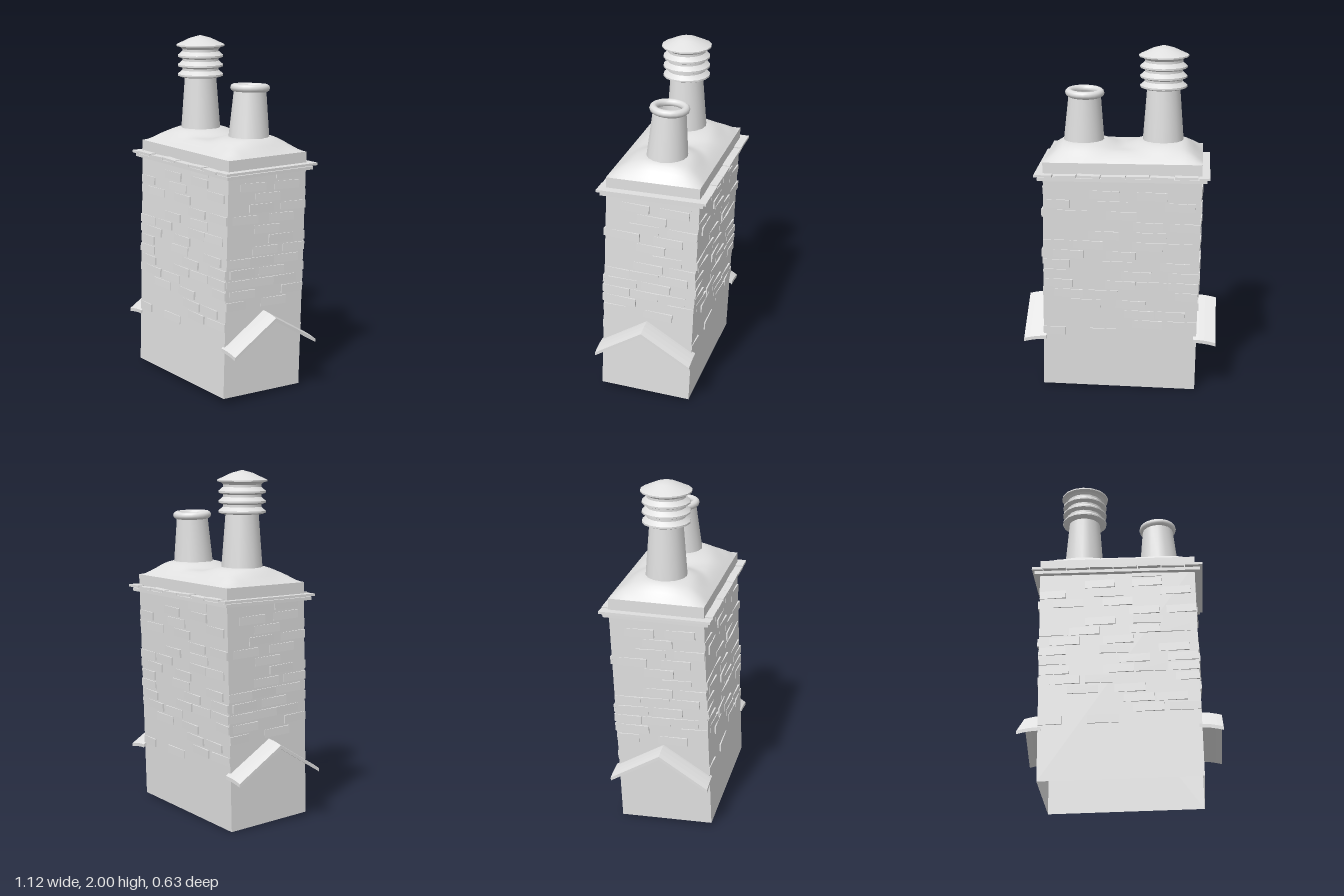
import * as THREE from 'three';
import { toCreasedNormals } from 'three/addons/utils/BufferGeometryUtils.js';

const stone = new THREE.MeshStandardMaterial({ color: 0xe0e0e0, side: THREE.DoubleSide });
stone.name = 'paleStone';

function add(parent, name, geometry, x = 0, y = 0, z = 0) {
  const mesh = new THREE.Mesh(geometry, stone);
  mesh.name = name;
  mesh.position.set(x, y, z);
  parent.add(mesh);
  return mesh;
}

function lathe(points, segments) {
  const geometry = new THREE.LatheGeometry(points.map(p => new THREE.Vector2(...p)), segments);
  return toCreasedNormals(geometry, 0.6);
}

// Raised bricks: one row per course from the top down, listing centres along the wall
const longCourses = [
  [0.17], [-0.1, 0.17], [-0.38, -0.05, 0.33], [-0.28, 0], [0.15, 0.36], [-0.1, 0.17],
  [-0.37, -0.19, 0.15, 0.32], [-0.3, 0], [-0.38, -0.02, 0.31], [-0.38, 0.09, 0.36],
  [-0.36, 0, 0.18, 0.36], [-0.3, -0.1, 0.4], [-0.2, 0.06], [0.11, 0.29],
  [0.16, 0.36], [-0.09, -0.4],
];
const shortCourses = [
  [0.14], [-0.1, 0.13], [0], [-0.04, 0.18], [-0.15, 0.1], [0],
  [0.1], [-0.01, 0.2], [-0.2, -0.03, 0.14], [-0.16, 0.04],
  [-0.2, -0.03, 0.13], [-0.16, 0.2], [-0.22, 0.06],
];

const HALF_W = 0.445, HALF_D = 0.267, BODY_H = 1.29;

function brickWall(parent, name, courses, halfLength, distance, angle) {
  const wall = new THREE.Group();
  wall.name = name;
  wall.rotation.y = angle;
  courses.forEach((row, i) => row.forEach((centre, j) => {
    const a = Math.max(centre - 0.085, -halfLength);
    const b = Math.min(centre + 0.085, halfLength);
    const brick = add(wall, 'raisedBrick', new THREE.BoxGeometry(b - a, 0.047, 0.012),
      (a + b) / 2, 1.245 - i * 0.06, distance);
    // each brick sits slightly askew so one end sinks into the wall
    brick.rotation.y = (i + j) % 3 === 0 ? 0.02 : -0.05;
  }));
  parent.add(wall);
}

// Leaning stack, open underneath
function buildStack() {
  const stack = new THREE.Group();
  stack.name = 'stack';
  const shell = new THREE.BoxGeometry(HALF_W * 2, BODY_H, HALF_D * 2);
  // drop the bottom face (fourth side of the box)
  const index = Array.from(shell.index.array);
  index.splice(18, 6);
  shell.setIndex(index);
  shell.clearGroups();
  add(stack, 'stackWalls', shell, 0, BODY_H / 2, 0);
  for (const turn of [0, Math.PI]) {
    brickWall(stack, 'longWallBricks', longCourses, HALF_W, HALF_D, turn);
    brickWall(stack, 'shortWallBricks', shortCourses, HALF_D, HALF_W, turn + Math.PI / 2);
  }
  stack.position.set(0.005, 0.02, 0.05);
  stack.rotation.set(-0.04, 0, 0.018);
  return stack;
}

// Gabled flashing on each end, drooping outwards
function buildFlashing(side) {
  const depth = 0.13;
  const shape = new THREE.Shape([
    [-0.315, 0.33], [-0.035, 0.505], [0.25, 0.33], [0.25, 0.31], [-0.035, 0.485], [-0.315, 0.31],
  ].map(p => new THREE.Vector2(...p)));
  const geometry = new THREE.ExtrudeGeometry(shape, { depth, steps: 4, bevelEnabled: false });
  geometry.rotateY(Math.PI / 2);
  const pos = geometry.attributes.position;
  for (let i = 0; i < pos.count; i++) {
    const t = (side > 0 ? pos.getX(i) : depth - pos.getX(i)) / depth;
    pos.setY(i, pos.getY(i) - 0.018 * t * t);
  }
  geometry.translate(side > 0 ? 0.558 - depth : -0.558, 0, 0);
  geometry.computeVertexNormals();
  return geometry;
}

// Slate ledge: solid course below, separate slates above
function buildLedge() {
  const ledge = new THREE.Group();
  ledge.name = 'slateLedge';
  add(ledge, 'lowerCourse', new THREE.BoxGeometry(0.95, 0.018, 0.59), -0.018, 1.286, 0);
  const cuts = [-0.51, -0.445, -0.31, -0.175, -0.04, 0.1, 0.235, 0.37, 0.477];
  for (let i = 0; i < cuts.length - 1; i++) {
    const width = cuts[i + 1] - cuts[i] - 0.006;
    for (const side of [-1, 1]) {
      const slate = add(ledge, 'slate', new THREE.BoxGeometry(width, 0.014, 0.312),
        (cuts[i] + cuts[i + 1]) / 2, 1.306 + (i % 2) * 0.003, side * 0.156 - 0.002);
      slate.rotation.z = (i % 3 - 1) * 0.025;
    }
  }
  return ledge;
}

// Mortar cap: slab with a softly domed top that swells around the pots
function buildCap() {
  const cap = new THREE.Group();
  cap.name = 'mortarCap';
  const w = 0.892, d = 0.535, x0 = -0.018, z0 = -0.002;
  add(cap, 'capSlab', new THREE.BoxGeometry(w, 0.07, d), x0, 1.342, z0);
  const dome = new THREE.PlaneGeometry(w, d, 36, 24);
  dome.rotateX(-Math.PI / 2);
  const pos = dome.attributes.position;
  const swell = (x, z, px, pz) => {
    const r = Math.hypot(x - px, z - pz);
    return 1 - THREE.MathUtils.smoothstep(r, 0.11, 0.24);
  };
  for (let i = 0; i < pos.count; i++) {
    const x = pos.getX(i) + x0, z = pos.getZ(i) + z0;
    const ex = Math.min(1, (w / 2 - Math.abs(x - x0)) / 0.11);
    const ez = Math.min(1, (d / 2 - Math.abs(z - z0)) / 0.11);
    const edge = Math.sin(ex * Math.PI / 2) * Math.sin(ez * Math.PI / 2);
    const mound = Math.max(swell(x, z, -0.235, 0), swell(x, z, 0.22, -0.015));
    pos.setXYZ(i, x, 1.377 + edge * (0.053 + 0.032 * mound), z);
  }
  dome.computeVertexNormals();
  add(cap, 'capDome', dome);
  return cap;
}

// Tapered pot with louvred rings and a conical hat
function buildLouvredPot() {
  const pot = new THREE.Group();
  pot.name = 'louvredPot';
  add(pot, 'potBody', lathe([[0.12, 1.4], [0.117, 1.46], [0.093, 1.77]], 16));
  const louvres = [[0.09, 1.757], [0.115, 1.757]];
  for (let i = 0; i < 3; i++) {
    const y = 1.765 + i * 0.055;
    louvres.push([0.134, y], [0.134, y + 0.01], [0.108, y + 0.032], [0.108, y + 0.045]);
  }
  louvres.push([0.128, 1.938]);
  add(pot, 'louvres', lathe(louvres, 16));
  add(pot, 'hat', lathe([[0.1, 1.925], [0.142, 1.938], [0.142, 1.946], [0.06, 1.984], [0, 2]], 16));
  pot.position.set(-0.235, 0, 0);
  return pot;
}

// Open tapered pot with a rolled rim, leaning slightly back
function buildOpenPot() {
  const pot = new THREE.Group();
  pot.name = 'openPot';
  add(pot, 'potBody', lathe([
    [0.122, 0], [0.118, 0.04], [0.092, 0.32], [0.074, 0.33], [0.074, 0.1], [0, 0.1],
  ], 16));
  const rim = new THREE.TorusGeometry(0.09, 0.022, 10, 20);
  rim.rotateX(Math.PI / 2);
  add(pot, 'rolledRim', rim, 0, 0.333, 0);
  pot.position.set(0.219, 1.4, -0.019);
  pot.rotation.set(-0.045, 0, 0.025);
  return pot;
}

export function createModel() {
  const model = new THREE.Group();
  model.name = 'chimney';
  model.add(buildStack(), buildLedge(), buildCap(), buildLouvredPot(), buildOpenPot());
  add(model, 'leftFlashing', buildFlashing(1));
  add(model, 'rightFlashing', buildFlashing(-1));
  return model;
}
